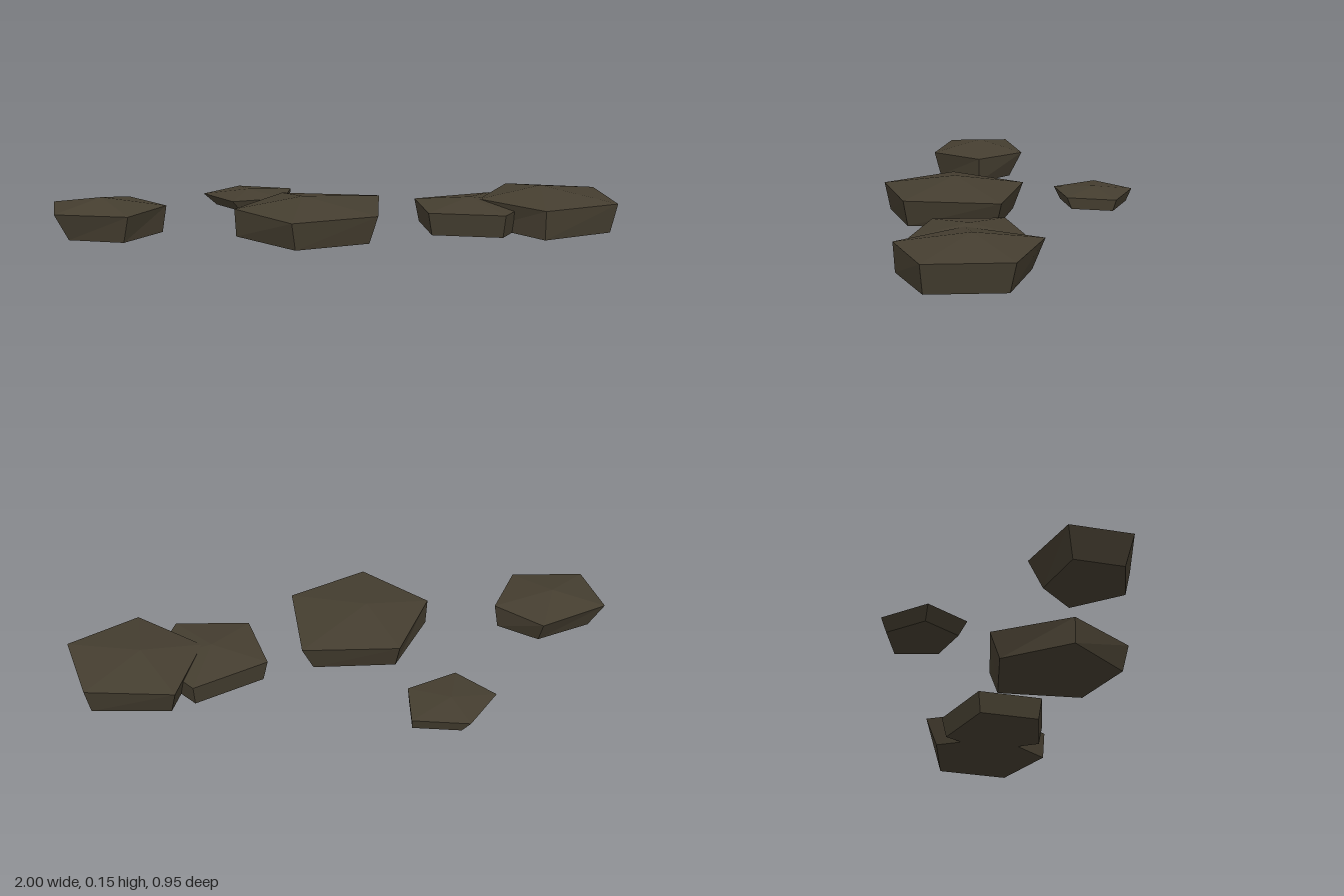
import * as THREE from 'three';

// Faceted stone: shoulder ring and base ring of [x, z] corners (clockwise from above), low peak on top
function stoneGeometry(ring, base, shoulderY, peak) {
  const top = ring.map(([x, z]) => [x, shoulderY, z]);
  const foot = base.map(([x, z]) => [x, 0, z]);
  const n = ring.length;
  const middle = [0, 1, 2].map(k => foot.reduce((s, p) => s + p[k], 0) / n);
  const positions = [];
  const tri = (...corners) => corners.forEach(c => positions.push(...c));
  for (let i = 0; i < n; i++) {
    const j = (i + 1) % n;
    tri(peak, top[j], top[i]);
    tri(top[i], top[j], foot[j]);
    tri(top[i], foot[j], foot[i]);
    tri(middle, foot[i], foot[j]);
  }
  const geometry = new THREE.BufferGeometry();
  geometry.setAttribute('position', new THREE.Float32BufferAttribute(positions, 3));
  geometry.computeVertexNormals();
  return geometry;
}

// Base ring made by shrinking the shoulder ring about its centre and nudging it
function shrink(ring, scale, dx = 0, dz = 0) {
  const cx = ring.reduce((s, p) => s + p[0], 0) / ring.length;
  const cz = ring.reduce((s, p) => s + p[1], 0) / ring.length;
  return ring.map(([x, z]) => [cx + (x - cx) * scale + dx, cz + (z - cz) * scale + dz]);
}

export function createModel() {
  const group = new THREE.Group();
  group.name = 'steppingStones';
  const stone = new THREE.MeshStandardMaterial({ color: 0x453e30, flatShading: true });
  stone.name = 'dark brown stone';

  const add = (name, ring, base, shoulderY, peak) => {
    const mesh = new THREE.Mesh(stoneGeometry(ring, base, shoulderY, peak), stone);
    mesh.name = name;
    group.add(mesh);
  };

  // Stone on the far right
  add('rightStone',
    [[-1, -0.03], [-0.725, -0.08], [-0.6, 0.1], [-0.745, 0.275], [-1, 0.197]],
    [[-0.95, 0], [-0.73, -0.03], [-0.615, 0.1], [-0.76, 0.25], [-0.95, 0.18]],
    0.097, [-0.83, 0.132, 0.085]);

  // Small stone at the back
  const back = [[-0.28, -0.477], [-0.086, -0.395], [-0.136, -0.214], [-0.334, -0.18], [-0.43, -0.347]];
  add('smallBackStone', back, shrink(back, 0.84, 0.02), 0.043, [-0.26, 0.06, -0.33]);

  // Large stone in the middle
  add('middleStone',
    [[-0.163, -0.048], [0.184, 0.053], [0.118, 0.406], [-0.195, 0.475], [-0.366, 0.209]],
    [[-0.16, -0.01], [0.136, 0.07], [0.09, 0.39], [-0.18, 0.454], [-0.36, 0.21]],
    0.1, [-0.12, 0.14, 0.21]);

  // Overlapping pair on the left
  const inner = [[0.318, 0.048], [0.617, -0.02], [0.72, 0.19], [0.58, 0.39], [0.318, 0.305]];
  add('innerLeftStone', inner, shrink(inner, 0.92), 0.083, [0.495, 0.112, 0.18]);
  add('outerLeftStone',
    [[0.693, -0.065], [1, 0.05], [1, 0.357], [0.712, 0.442], [0.527, 0.198]],
    [[0.7, -0.02], [0.976, 0.07], [0.976, 0.348], [0.712, 0.435], [0.56, 0.198]],
    0.106, [0.76, 0.147, 0.182]);

  return group;
}
